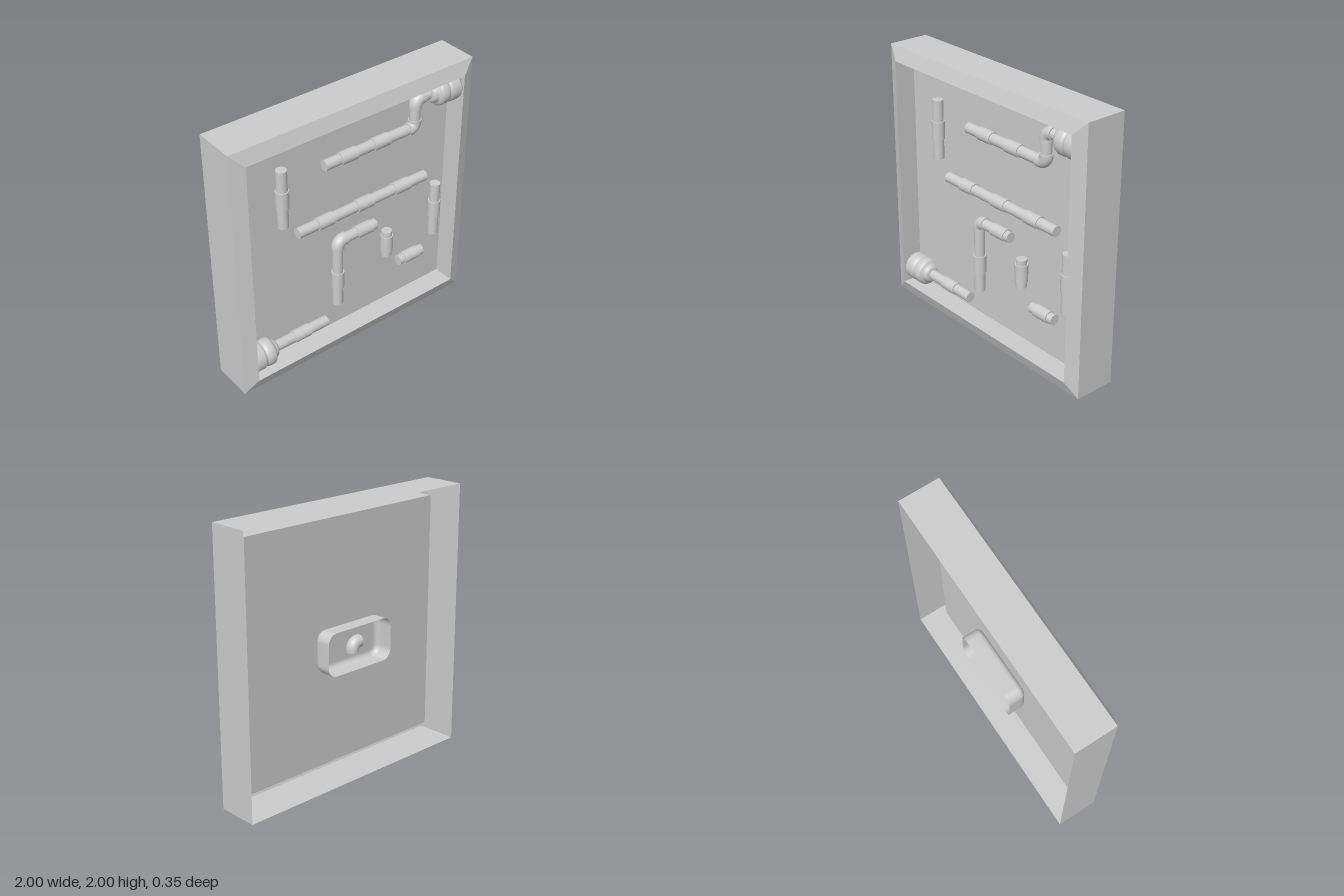
import * as THREE from 'three';
import { mergeGeometries } from 'three/addons/utils/BufferGeometryUtils.js';

const BOARD_Z = 0.015;   // front plane of the board
const PIPE_Z = 0.06;     // pipe centre line
const PIPE_R = 0.039, SLEEVE_R = 0.047;

const smooth = new THREE.MeshStandardMaterial({ color: 0xcccccc });
const smoothThin = new THREE.MeshStandardMaterial({ color: 0xcccccc, side: THREE.DoubleSide });
const flatThin = new THREE.MeshStandardMaterial({ color: 0xcccccc, side: THREE.DoubleSide, flatShading: true });

export function createModel() {
  const model = new THREE.Group();
  model.name = 'pipeBoard';

  const add = (name, geometry, material = smooth, parent = model) => {
    const mesh = new THREE.Mesh(geometry, material);
    mesh.name = name;
    parent.add(mesh);
    return mesh;
  };

  // Cut fittings flush where they would pass through the board
  const flush = (geometry) => {
    const p = geometry.attributes.position;
    for (let i = 0; i < p.count; i++) p.setZ(i, Math.max(p.getZ(i), BOARD_Z + 0.0003));
    return geometry;
  };

  // Straight rod from a to b along one axis: 'x' or 'y'
  const rod = (axis, a, b, across, r) => {
    const g = new THREE.CylinderGeometry(r, r, b - a, 32);
    if (axis === 'x') g.rotateZ(-Math.PI / 2);
    const mid = (a + b) / 2;
    return axis === 'x' ? g.translate(mid, across, PIPE_Z) : g.translate(across, mid, PIPE_Z);
  };

  // Pipe with sleeves centred at the given places
  const pipe = (name, axis, a, b, across, sleeves = []) => {
    const group = new THREE.Group();
    group.name = name;
    add('tube', flush(rod(axis, a, b, across, PIPE_R)), smooth, group);
    for (const s of sleeves) add('sleeve', flush(rod(axis, s - 0.0675, s + 0.0675, across, SLEEVE_R)), smooth, group);
    model.add(group);
  };

  // Elbow with arms toward +x and -y, turned by angle
  const elbow = (x, y, z, angle) => {
    const R = 0.05, end = 0.065;
    const bend = new THREE.TorusGeometry(R, SLEEVE_R, 32, 16, Math.PI / 2).rotateZ(Math.PI / 2).translate(R, -R, 0);
    const arm = () => new THREE.CylinderGeometry(SLEEVE_R, SLEEVE_R, end - R, 32);
    const mid = (R + end) / 2;
    return mergeGeometries([
      bend,
      arm().rotateZ(Math.PI / 2).translate(mid, 0, 0),
      arm().translate(0, -mid, 0),
    ]).rotateZ(angle).translate(x, y, z);
  };

  // Bellied flange against a side wall; side is -1 or 1
  const flange = (name, side, y) => {
    const profile = [
      [0, 0], [0.1, 0], [0.105, 0.012], [0.105, 0.076], [0.1, 0.088], [0.094, 0.094], [0.094, 0.104],
      [0.1, 0.11], [0.105, 0.122], [0.105, 0.158], [0.1, 0.172], [0.088, 0.182], [0.074, 0.185],
      [0.07, 0.195], [0.068, 0.208], [0.06, 0.218], [0.046, 0.225], [0, 0.225],
    ].map(([r, h]) => new THREE.Vector2(r, h));
    const g = new THREE.LatheGeometry(profile, 48).rotateZ(side * Math.PI / 2);
    add(name, flush(g.translate(side * 0.9, y, PIPE_Z)));
  };

  // Square frame: outer wall, front bevel and inner wall, open at the back
  const section = [[1, -0.175], [1, 0.135], [0.9, 0.175], [0.9, BOARD_Z]]
    .map(([r, h]) => new THREE.Vector2(r * Math.SQRT2, h));
  const frame = new THREE.LatheGeometry(section, 4, Math.PI / 4).rotateX(Math.PI / 2).translate(0, 1, 0);
  add('frame', frame, flatThin);
  add('board', new THREE.PlaneGeometry(1.8, 1.8).translate(0, 1, BOARD_Z), flatThin);

  // Pipe run from the upper right corner
  flange('upperFlange', 1, 1.79);
  pipe('upperStub', 'x', 0.6, 0.69, 1.79);
  add('upperElbow', flush(elbow(0.56, 1.79, PIPE_Z, 0)));
  pipe('upperRiser', 'y', 1.62, 1.74, 0.56);
  add('lowerElbow', flush(elbow(0.56, 1.57, PIPE_Z, Math.PI)));
  pipe('upperPipe', 'x', -0.225, 0.51, 1.57, [-0.03, 0.25]);

  // Pipe run from the lower left corner
  flange('lowerFlange', -1, 0.215);
  pipe('lowerPipe', 'x', -0.69, -0.225, 0.215, [-0.452]);

  // Bent pipe
  add('bentPipeElbow', flush(elbow(-0.115, 0.89, PIPE_Z, 0)));
  pipe('bentPipeAcross', 'x', -0.06, 0.22, 0.89, [0.113]);
  pipe('bentPipeDown', 'y', 0.33, 0.84, -0.115, [0.552]);

  // Loose straight pieces
  pipe('longPipe', 'x', -0.455, 0.675, 1.117, [-0.228, 0.112, 0.448]);
  pipe('leftPipe', 'y', 1.23, 1.68, -0.567, [1.452]);
  pipe('rightPipe', 'y', 0.55, 1.0, 0.787, [0.782]);
  pipe('shortUprightPipe', 'y', 0.555, 0.775, 0.335, [0.667]);
  pipe('shortLevelPipe', 'x', 0.45, 0.675, 0.44, [0.562]);

  // Rounded tray behind the board, open to the back
  const hw = 0.3, hh = 0.157, radius = 0.075, steps = 8;
  const rings = [[0, -0.175], [0, -0.12], [0, -0.075]];
  for (let i = 1; i <= 5; i++) {
    const t = (i / 5) * Math.PI / 2;
    rings.push([0.04 * (1 - Math.cos(t)), -0.075 + 0.04 * Math.sin(t)]);
  }
  const pos = [], index = [], n = 4 * (steps + 1);
  for (const [inset, z] of rings) {
    for (let k = 0; k < 4; k++) {
      const sx = k === 0 || k === 3 ? 1 : -1, sy = k < 2 ? 1 : -1;
      for (let i = 0; i <= steps; i++) {
        const a = (k + i / steps) * Math.PI / 2, r = radius - inset;
        pos.push(sx * (hw - radius) + r * Math.cos(a), 1 + sy * (hh - radius) + r * Math.sin(a), z);
      }
    }
  }
  for (let j = 0; j < rings.length - 1; j++) {
    for (let i = 0; i < n; i++) {
      const a = j * n + i, b = j * n + (i + 1) % n;
      index.push(a, b, b + n, a, b + n, a + n);
    }
  }
  const centre = pos.length / 3, last = (rings.length - 1) * n;
  pos.push(0, 1, -0.035);
  for (let i = 0; i < n; i++) index.push(last + i, last + (i + 1) % n, centre);
  const tray = new THREE.BufferGeometry();
  tray.setAttribute('position', new THREE.Float32BufferAttribute(pos, 3));
  tray.setIndex(index);
  tray.computeVertexNormals();
  add('tray', tray, smoothThin);
  add('trayElbow', elbow(-0.015, 1.005, -0.08, -Math.PI / 2));

  return model;
}
